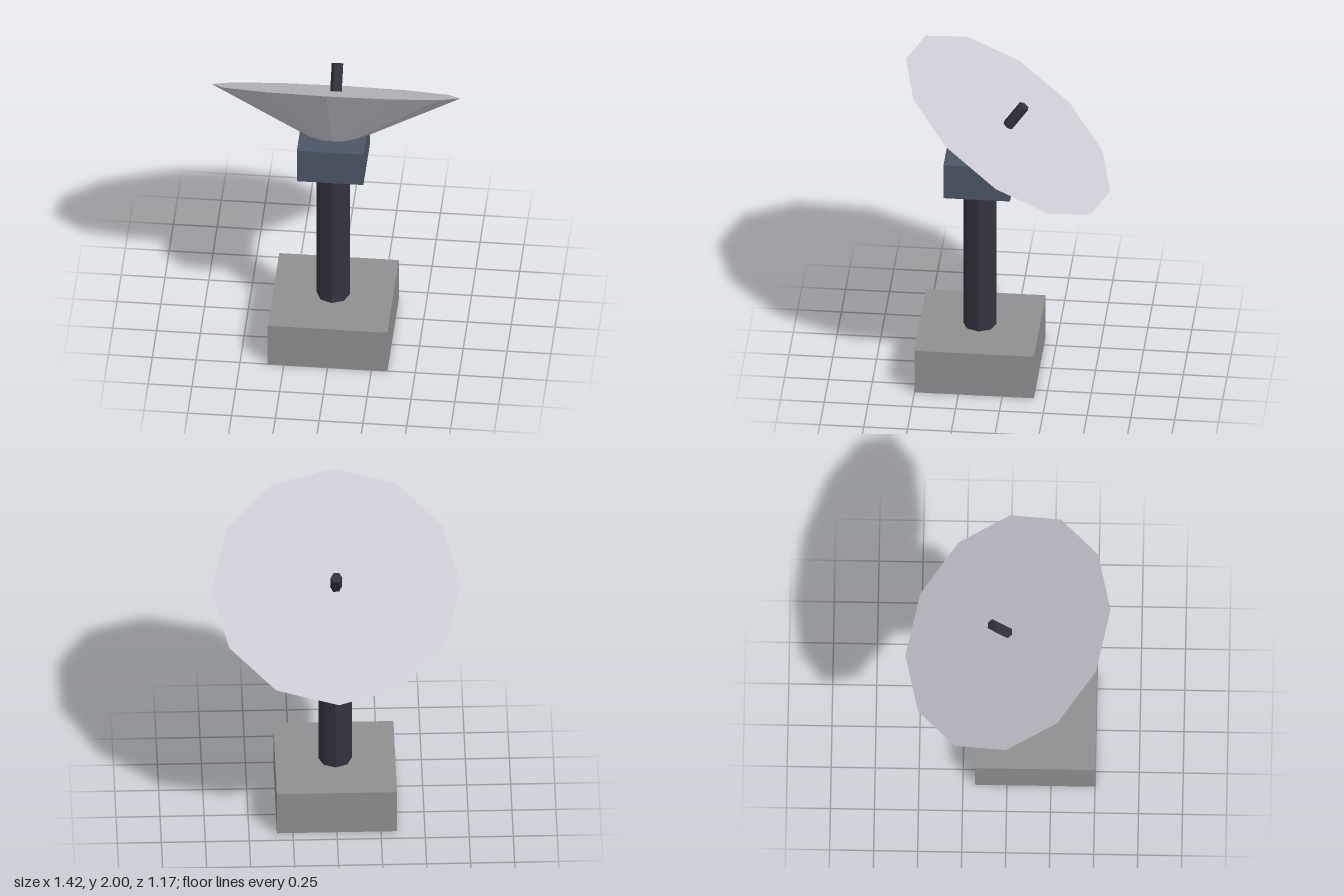
import * as THREE from 'three';

const mat = (name, color) => {
  const m = new THREE.MeshStandardMaterial({ color, flatShading: true });
  m.name = name;
  return m;
};

export function createModel() {
  const concrete = mat('concrete grey', 0x909090);
  const dark = mat('dark metal', 0x333340);
  const slate = mat('slate blue', 0x4c5666);
  const pale = mat('pale dish', 0xcdcbd4);

  const model = new THREE.Group();
  model.name = 'dishAntenna';
  const add = (parent, name, geometry, material, x, y, z) => {
    const mesh = new THREE.Mesh(geometry, material);
    mesh.name = name;
    mesh.position.set(x, y, z);
    parent.add(mesh);
    return mesh;
  };

  // Mount: block, octagonal mast and head, all on one vertical axis
  const mastZ = 0.16;
  add(model, 'base', new THREE.BoxGeometry(0.683, 0.275, 0.683), concrete, 0, 0.1375, mastZ);
  add(model, 'mast', new THREE.CylinderGeometry(0.095, 0.095, 0.94, 8), dark, 0, 0.74, mastZ);
  add(model, 'head', new THREE.BoxGeometry(0.38, 0.217, 0.38), slate, 0, 1.313, mastZ);

  // Tilted dish: origin at the centre of its rim, facing up and back
  const dish = new THREE.Group();
  dish.name = 'dish';
  dish.position.set(0, 1.595, 0);
  dish.rotation.x = -0.608;
  model.add(dish);

  const depth = 0.28;
  add(dish, 'reflector', new THREE.CylinderGeometry(0.71, 0.11, depth, 12), pale, 0, -depth / 2, 0);

  // Hexagonal feed rod standing on the dish face
  const feed = add(dish, 'feedRod', new THREE.CylinderGeometry(0.033, 0.033, 0.26, 6), dark, 0, 0.03, 0);
  feed.rotation.y = Math.PI / 2;

  return model;
}
